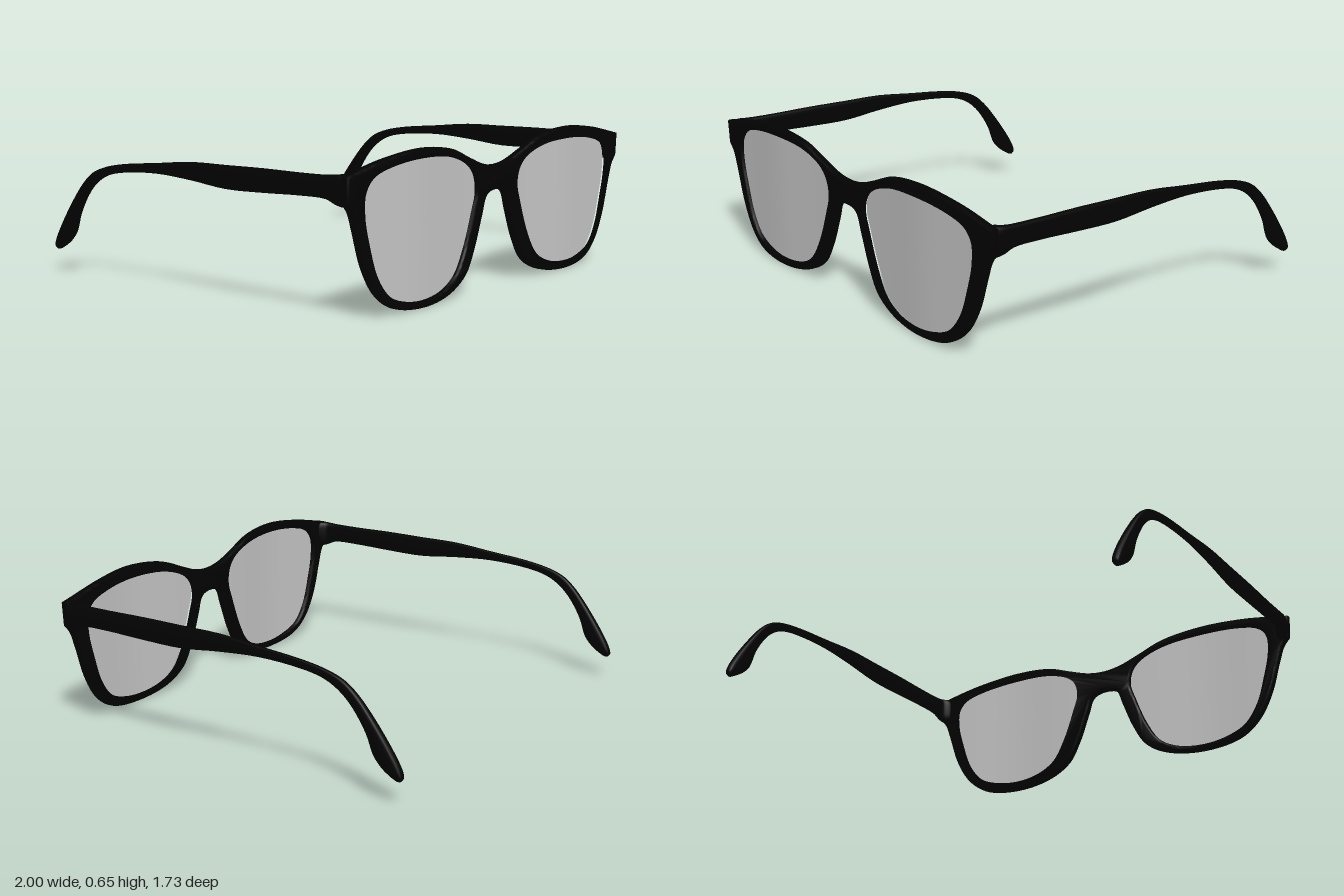
import * as THREE from 'three';
import { toCreasedNormals } from 'three/addons/utils/BufferGeometryUtils.js';

const black = new THREE.MeshStandardMaterial({ color: 0x020202 });
const grey = new THREE.MeshStandardMaterial({ color: 0xc1c1c1, side: THREE.DoubleSide });

// Smooth curve through [x, y] points, returned as evenly spaced Vector2s
function smooth(points, count, closed = false) {
  const curve = new THREE.CatmullRomCurve3(points.map(([x, y]) => new THREE.Vector3(x, y, 0)), closed);
  return curve.getSpacedPoints(count).map(p => new THREE.Vector2(p.x, p.y));
}

// Gentle forward bow of the front over each lens
const bow = x => 0.822 + 0.016 * Math.exp(-(((Math.abs(x) - 0.55) / 0.24) ** 2));
const frontZ = (x, y) => bow(x) + 0.006 * ((y - 0.32) / 0.32) ** 2;

// Lens opening on the +x side
const lensPoints = [
  [0.155, 0.49], [0.2, 0.54], [0.33, 0.588], [0.54, 0.604], [0.73, 0.587], [0.84, 0.553], [0.883, 0.5],
  [0.886, 0.41], [0.858, 0.295], [0.811, 0.165], [0.742, 0.08], [0.64, 0.041], [0.52, 0.028],
  [0.39, 0.045], [0.294, 0.095], [0.225, 0.2], [0.165, 0.35], [0.143, 0.42],
];
const lensOutline = side => smooth(lensPoints, 110, true).slice(0, -1).map(p => new THREE.Vector2(p.x * side, p.y));

// Rims, bridge and end pieces in one bevelled plate
function frameGeometry() {
  const topHalf = [[0.09, 0.536], [0.195, 0.572], [0.33, 0.622], [0.54, 0.645], [0.76, 0.625], [1, 0.577]];
  const bottomHalf = [
    [0.996, 0.47], [0.964, 0.432], [0.937, 0.36], [0.884, 0.205], [0.813, 0.093], [0.715, 0.026], [0.52, 0],
    [0.33, 0.026], [0.22, 0.086], [0.157, 0.185], [0.102, 0.32], [0.068, 0.4],
  ];
  const flip = list => list.map(([x, y]) => [-x, y]).reverse();
  const top = smooth([...flip(topHalf), [0, 0.525], ...topHalf], 120);
  const bottom = smooth([...bottomHalf, [0, 0.418], ...flip(bottomHalf)], 220);
  const shape = new THREE.Shape([...top, ...bottom]);
  for (const side of [1, -1]) shape.holes.push(new THREE.Path(lensOutline(side)));
  const geometry = new THREE.ExtrudeGeometry(shape, {
    depth: 0.018, bevelThickness: 0.011, bevelSize: 0.011, bevelOffset: -0.011, bevelSegments: 3,
  });
  geometry.translate(0, 0, -0.009);
  const pos = geometry.attributes.position;
  for (let i = 0; i < pos.count; i++) {
    pos.setZ(i, pos.getZ(i) + frontZ(pos.getX(i), pos.getY(i)));
  }
  return toCreasedNormals(geometry, 0.8);
}

// Curved lens made of rings shrinking to its centre, its edge set into the rim
function lensGeometry(side) {
  const outline = lensOutline(side), n = outline.length, rings = 8;
  const positions = [], index = [];
  for (let k = 0; k <= rings; k++) {
    for (const p of outline) {
      const f = 1.025 * k / rings;
      const x = side * 0.53 + (p.x - side * 0.53) * f, y = 0.33 + (p.y - 0.33) * f;
      positions.push(x, y, bow(x) + 0.003);
    }
  }
  for (let k = 0; k < rings; k++) {
    for (let j = 0; j < n; j++) {
      const a = k * n + j, b = k * n + (j + 1) % n, c = a + n, d = b + n;
      // the +x outline runs clockwise
      if (side > 0) index.push(a, b, c, b, d, c);
      else index.push(a, c, b, b, c, d);
    }
  }
  return loopGeometry(positions, index);
}

function loopGeometry(positions, index) {
  const geometry = new THREE.BufferGeometry();
  geometry.setAttribute('position', new THREE.Float32BufferAttribute(positions, 3));
  geometry.setIndex(index);
  geometry.computeVertexNormals();
  return geometry;
}

// Arm sections from hinge to ear tip: top z, y; bottom z, y; inner x; outer x
const armSections = [
  [0.825, 0.579, 0.825, 0.455, 0.925, 0.998],
  [0.8, 0.582, 0.8, 0.455, 0.94, 0.998],
  [0.775, 0.579, 0.77, 0.464, 0.96, 0.998],
  [0.73, 0.575, 0.73, 0.48, 0.965, 0.998],
  [0.6, 0.572, 0.6, 0.482, 0.966, 0.997],
  [0.4, 0.572, 0.4, 0.474, 0.967, 0.997],
  [0.2, 0.568, 0.2, 0.47, 0.968, 0.996],
  [0, 0.564, 0, 0.488, 0.971, 0.994],
  [-0.2, 0.543, -0.2, 0.498, 0.973, 0.992],
  [-0.4, 0.522, -0.4, 0.485, 0.972, 0.992],
  [-0.52, 0.499, -0.5, 0.465, 0.97, 0.992],
  [-0.6, 0.468, -0.57, 0.431, 0.967, 0.994],
  [-0.665, 0.415, -0.635, 0.373, 0.963, 0.995],
  [-0.75, 0.312, -0.7, 0.275, 0.957, 0.996],
  [-0.825, 0.205, -0.733, 0.19, 0.953, 0.996],
  [-0.858, 0.145, -0.77, 0.148, 0.953, 0.995],
  [-0.864, 0.118, -0.81, 0.12, 0.957, 0.992],
  [-0.854, 0.104, -0.835, 0.105, 0.967, 0.983],
];

function armGeometry(side) {
  const column = k => new THREE.CatmullRomCurve3(
    armSections.map(s => new THREE.Vector3(s[k], s[k + 1], 0)));
  const [topCurve, bottomCurve, widthCurve] = [column(0), column(2), column(4)];
  const steps = (armSections.length - 1) * 4, n = 20;
  const positions = [], index = [];
  const soft = v => Math.sign(v) * Math.abs(v) ** 0.65;
  for (let i = 0; i <= steps; i++) {
    const t = topCurve.getPoint(i / steps), b = bottomCurve.getPoint(i / steps);
    const w = widthCurve.getPoint(i / steps);
    for (let j = 0; j < n; j++) {
      const angle = j / n * Math.PI * 2;
      const u = (1 + soft(Math.cos(angle))) / 2, v = (1 + soft(Math.sin(angle))) / 2;
      positions.push(side * (w.x + (w.y - w.x) * u), b.y + (t.y - b.y) * v, b.x + (t.x - b.x) * v);
    }
  }
  const face = (a, b, c) => side > 0 ? index.push(a, b, c) : index.push(a, c, b);
  for (let i = 0; i < steps; i++) {
    for (let j = 0; j < n; j++) {
      const a = i * n + j, b = i * n + (j + 1) % n, c = a + n, d = b + n;
      face(a, c, b);
      face(b, c, d);
    }
  }
  // close both ends
  for (let j = 1; j < n - 1; j++) {
    face(0, j, j + 1);
    face(steps * n, steps * n + j + 1, steps * n + j);
  }
  return loopGeometry(positions, index);
}

export function createModel() {
  const model = new THREE.Group();
  model.name = 'eyeglasses';
  const add = (name, geometry, material) => {
    const mesh = new THREE.Mesh(geometry, material);
    mesh.name = name;
    model.add(mesh);
  };
  add('frontFrame', frameGeometry(), black);
  for (const [label, side] of [['left', 1], ['right', -1]]) {
    add(label + 'Lens', lensGeometry(side), grey);
    add(label + 'Arm', armGeometry(side), black);
  }
  return model;
}
